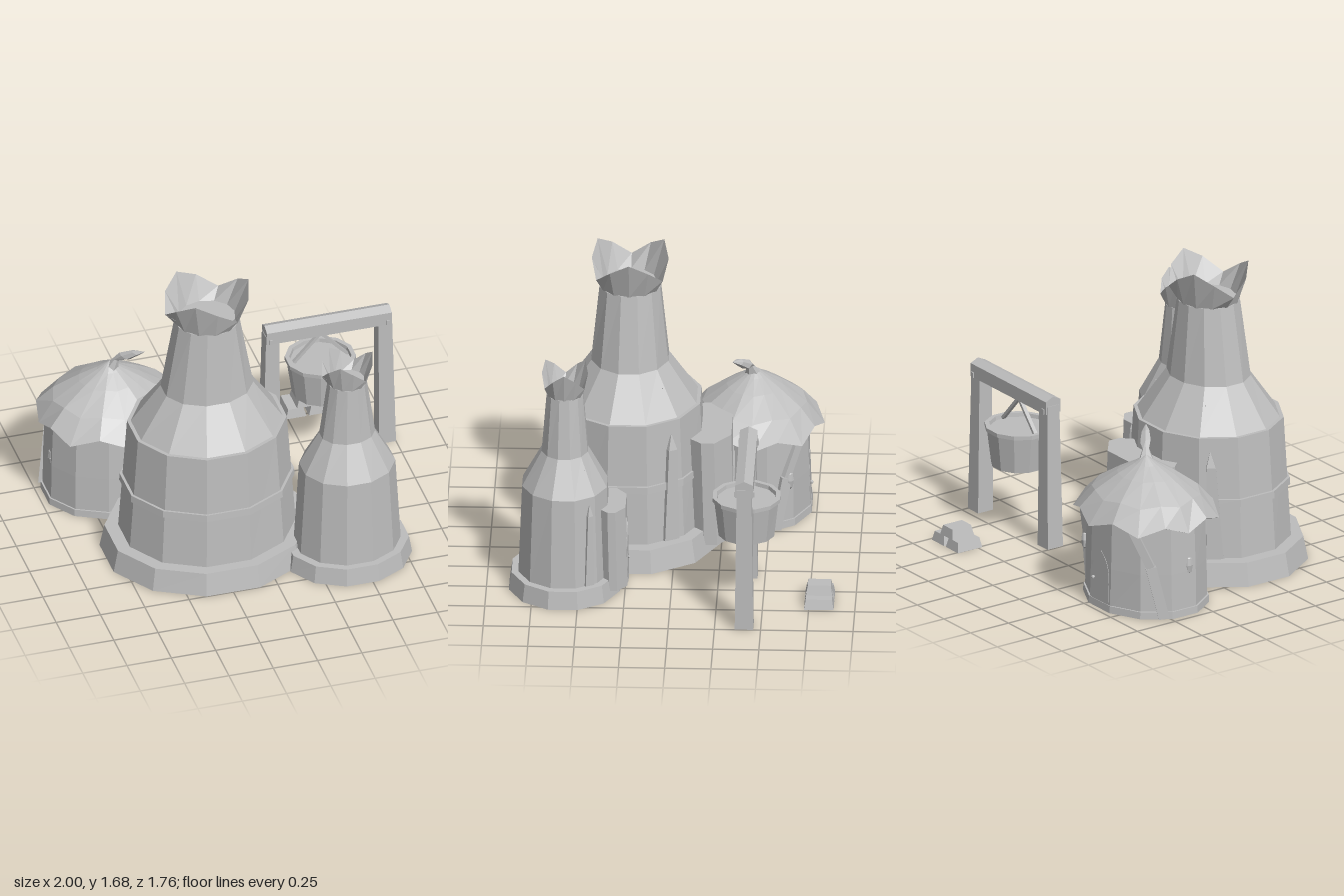
import * as THREE from 'three';

const stone = new THREE.MeshStandardMaterial({ color: 0xbdbdbd });
stone.name = 'stone grey';

// Faceted mesh added to a parent
function add(parent, name, geometry, x = 0, y = 0, z = 0) {
  const g = geometry.index ? geometry.toNonIndexed() : geometry;
  g.computeVertexNormals();
  const mesh = new THREE.Mesh(g, stone);
  mesh.name = name;
  mesh.position.set(x, y, z);
  parent.add(mesh);
  return mesh;
}

// Skin over closed rings; point(row, angle) gives [x, y, z], angle runs from +z to +x
function skin(rows, n, point, offset = 0) {
  const pos = [], idx = [];
  for (let j = 0; j < rows; j++)
    for (let i = 0; i < n; i++) pos.push(...point(j, ((i + offset) / n) * Math.PI * 2));
  for (let j = 0; j < rows - 1; j++)
    for (let i = 0; i < n; i++) {
      const a = j * n + i, b = j * n + ((i + 1) % n);
      idx.push(a, b, b + n, a, b + n, a + n);
    }
  const g = new THREE.BufferGeometry();
  g.setAttribute('position', new THREE.Float32BufferAttribute(pos, 3));
  g.setIndex(idx);
  return g;
}

// Rings given as [y, half width in x, half depth in z], flat sides on the axes
function loft(sections, n = 12) {
  const k = 1 / Math.cos(Math.PI / n);
  return skin(sections.length, n, (j, a) => {
    const [y, rx, rz] = sections[j];
    return [rx * k * Math.sin(a), y, rz * k * Math.cos(a)];
  }, 0.5);
}

// Arched door with knob, facing -z and leaning slightly back
function addDoor(parent, x, y, z, w, h) {
  const arch = (hw, top) => {
    const s = new THREE.Shape();
    s.moveTo(-hw, 0);
    s.lineTo(hw, 0);
    s.lineTo(hw, top * 0.6);
    s.quadraticCurveTo(hw * 0.9, top * 0.85, 0, top);
    s.quadraticCurveTo(-hw * 0.9, top * 0.85, -hw, top * 0.6);
    return s;
  };
  const plate = (name, hw, top, depth) => {
    const g = new THREE.ExtrudeGeometry(arch(hw, top), { depth, bevelEnabled: false, curveSegments: 4 });
    add(parent, name, g, x, y, z).rotation.set(0.03, Math.PI, 0);
  };
  plate('doorFrame', w / 2, h, 0.004);
  plate('doorPanel', w / 2 - 0.02, h - 0.03, 0.007);
  add(parent, 'doorKnob', new THREE.SphereGeometry(0.011, 6, 4), x + w * 0.3, y + h * 0.4, z - 0.01);
}

// Bottle-shaped tower with a three-pointed crown and a rear porch
function addTower(parent, name, x, z, scale, shoulder, banded) {
  const t = new THREE.Group();
  t.name = name;
  t.position.set(x, 0, z);
  t.scale.set(...scale);
  parent.add(t);

  // Base ring, hollow from below
  add(t, 'towerBase', loft([
    [0.12, 0, 0], [0.12, 0.535, 0.47], [0, 0.562, 0.496], [0, 0.566, 0.5], [0.13, 0.54, 0.475], [0.13, 0.44, 0.38],
  ]));
  const lip = banded ? 0.02 : 0;
  add(t, 'towerBody', loft([
    [0.12, 0.468, 0.415], [shoulder, 0.42, 0.382], [shoulder, 0.42 - lip, 0.382 - lip],
    [1.04, 0.245, 0.208], [1.47, 0.171, 0.164], [1.47, 0, 0],
  ]));
  if (banded)
    add(t, 'towerBand', loft([[0.425, 0.44, 0.39], [0.425, 0.462, 0.412], [0.465, 0.459, 0.409], [0.465, 0.43, 0.38]]));

  // Crown: outer wall, jagged rim, inner wall, floor
  const rim = [1.68, 1.62, 1.54, 1.62];
  const rimY = a => rim[Math.abs(Math.round((a - Math.PI / 2) / (Math.PI / 6))) % 4];
  add(t, 'crown', skin(4, 12, (j, a) => {
    const [rx, rz] = [[0.174, 0.167], [0.236, 0.208], [0.157, 0.145], [0, 0]][j];
    const y = j === 1 ? rimY(a) : [1.465, 0, 1.485, 1.485][j];
    return [rx * Math.sin(a), y, rz * Math.cos(a)];
  }));

  // Rear porch, narrowing upward, with its door
  const plan = new THREE.Shape([[-0.15, 0.57], [-0.27, 0.48], [-0.27, 0.41], [-0.19, 0.33],
    [0.19, 0.33], [0.27, 0.41], [0.27, 0.48], [0.15, 0.57]].map(p => new THREE.Vector2(...p)));
  const porch = new THREE.ExtrudeGeometry(plan, { depth: 0.6, bevelEnabled: false });
  porch.rotateX(-Math.PI / 2);
  const p = porch.attributes.position;
  for (let i = 0; i < p.count; i++)
    if (p.getY(i) > 0.3) p.setXYZ(i, p.getX(i) * 0.96, p.getY(i), p.getZ(i) + 0.018);
  add(t, 'porch', porch, 0.02, 0.05, 0);
  addDoor(t, 0.02, 0.06, -0.57, 0.23, 0.46);

  // Pointed buttresses and small pegs on both sides
  for (const s of [1, -1]) {
    const turn = s > 0 ? 0.59 : Math.PI - 0.59;
    const spike = add(t, 'buttress', loft([[0, 0, 0], [0, 0.03, 0.045], [0.52, 0.022, 0.026], [0.61, 0, 0]], 4),
      s * 0.38, 0.13, -0.225);
    spike.rotation.set(-0.05, turn, 0.06);
    add(t, 'peg', new THREE.ConeGeometry(0.012, 0.03, 4), s * 0.225, 0.95, -0.18).rotation.set(0, turn, -1);
  }
}

// Box between two points, twisted about its length
function addPlank(parent, name, from, to, w, d, twist) {
  const a = new THREE.Vector3(...from), b = new THREE.Vector3(...to);
  const dir = b.clone().sub(a);
  const m = add(parent, name, new THREE.BoxGeometry(d, dir.length(), w));
  m.position.copy(a).add(b).multiplyScalar(0.5);
  m.quaternion.setFromUnitVectors(new THREE.Vector3(0, 1, 0), dir.normalize());
  m.rotateY(twist);
}

function addHut(parent) {
  const h = new THREE.Group();
  h.name = 'roundHut';
  h.position.set(-0.6, 0, -0.41);
  parent.add(h);
  add(h, 'hutWall', loft([[0.03, 0.355, 0.3], [0.25, 0.352, 0.298], [0.53, 0.342, 0.29]]));
  // Footing ring, hollow from below
  add(h, 'hutFooting', loft([
    [0.04, 0, 0], [0.04, 0.35, 0.295], [0, 0.362, 0.308], [0, 0.366, 0.312], [0.04, 0.364, 0.309], [0.04, 0.33, 0.28],
  ]));

  // Scalloped roof, underside first, slightly squared off at its sides
  const prof = [[0.28, 0.5, 0], [0.41, 0.515, 1], [0.31, 0.625, 0.35], [0.168, 0.72, 0.1], [0.07, 0.775, 0], [0, 0.82, 0]];
  add(h, 'hutRoof', skin(prof.length, 16, (j, a) => {
    const [r, y, wave] = prof[j], c = Math.cos(8 * a) * wave;
    const rr = r + 0.012 * c;
    return [THREE.MathUtils.clamp(rr * 1.02 * Math.sin(a), -0.4, 0.4), y - 0.025 * c, rr * 0.9 * Math.cos(a)];
  }));

  // Bent tip of the roof
  const path = [[0, 0.765, 0, 0.055], [0.03, 0.84, 0.02, 0.02], [0.07, 0.865, 0.045, 0.035], [0.12, 0.9, 0.08, 0.025], [0.165, 0.92, 0.115, 0]];
  add(h, 'roofTip', skin(path.length, 6, (j, a) => {
    const [x, y, z, r] = path[j];
    return [x + r * Math.sin(a) * 0.8, y - (j > 1 ? r * 0.5 * Math.sin(a) : 0), z + r * Math.cos(a)];
  }));

  addDoor(h, 0, 0.03, -0.3, 0.19, 0.33);
  // Bent planks leaning on the wall
  for (const s of [1, -1]) {
    const knee = [s * 0.3, 0.3, -0.18];
    addPlank(h, 'leaningPlank', [s * 0.345, 0.01, -0.125], knee, 0.058, 0.03, s * 0.5);
    addPlank(h, 'leaningPlank', knee, [s * 0.225, 0.52, -0.257], 0.045, 0.03, s * 0.7);
  }
  for (const [x, z, turn] of [[0.29, -0.2, 0.6], [-0.342, 0.04, 0]]) {
    const win = add(h, 'ovalWindow', new THREE.SphereGeometry(1, 8, 4), x, 0.28, z);
    win.scale.set(0.02, 0.055, 0.026);
    win.rotation.y = turn;
  }
}

function addHoist(parent) {
  const f = new THREE.Group();
  f.name = 'hoist';
  f.position.set(0.625, 0, -0.41);
  parent.add(f);
  for (const s of [1, -1]) {
    const post = add(f, 'post', loft([[0, 0, 0], [0, 0.048, 0.05], [0.82, 0.038, 0.04], [0.82, 0, 0]], 4), s * 0.327, 0, 0);
    post.rotation.z = s * 0.012;
    add(f, 'postBolt', new THREE.BoxGeometry(0.02, 0.03, 0.11), s * 0.33, 0.79, 0);
  }
  // Ridged crossbeam
  const end = new THREE.Shape([[-0.048, 0.775], [0.048, 0.775], [0.048, 0.85], [0, 0.872], [-0.048, 0.85]].map(p => new THREE.Vector2(...p)));
  const beam = new THREE.ExtrudeGeometry(end, { depth: 0.705, bevelEnabled: false });
  beam.translate(0, 0, -0.3525);
  add(f, 'crossbeam', beam).rotation.y = Math.PI / 2;

  // Bucket, hollow from below, with a lid plate, rim and V handle
  const cx = -0.037;
  add(f, 'bucket', loft([
    [0.58, 0, 0], [0.58, 0.172, 0.167], [0.385, 0.146, 0.146], [0.385, 0.15, 0.15], [0.59, 0.178, 0.173], [0.59, 0.187, 0.182],
    [0.612, 0.187, 0.182], [0.612, 0.163, 0.158], [0.59, 0.16, 0.155], [0.59, 0, 0],
  ]), cx);
  for (const s of [1, -1])
    addPlank(f, 'bucketHandle', [cx + s * 0.15, 0.6, 0], [cx, 0.765, 0], 0.022, 0.016, 0);
}

export function createModel() {
  const model = new THREE.Group();
  model.name = 'foundryYard';
  addTower(model, 'largeTower', -0.25, 0.25, [1, 1, 1], 0.81, true);
  addTower(model, 'smallTower', 0.443, 0.578, [0.604, 0.774, 0.6], 0.785, false);
  addHut(model);
  addHoist(model);

  // Stack of three tapered ingots
  const stack = new THREE.Group();
  stack.name = 'ingotStack';
  stack.position.set(0.612, 0, -0.805);
  model.add(stack);
  for (const [x, y, d] of [[-0.065, 0, 0.08], [0.065, 0, 0.08], [0, 0.054, 0.071]])
    add(stack, 'ingot', loft([[0, 0, 0], [0, 0.058, d], [0.054, 0.043, d - 0.009], [0.054, 0, 0]], 4), x, y, 0);
  return model;
}
